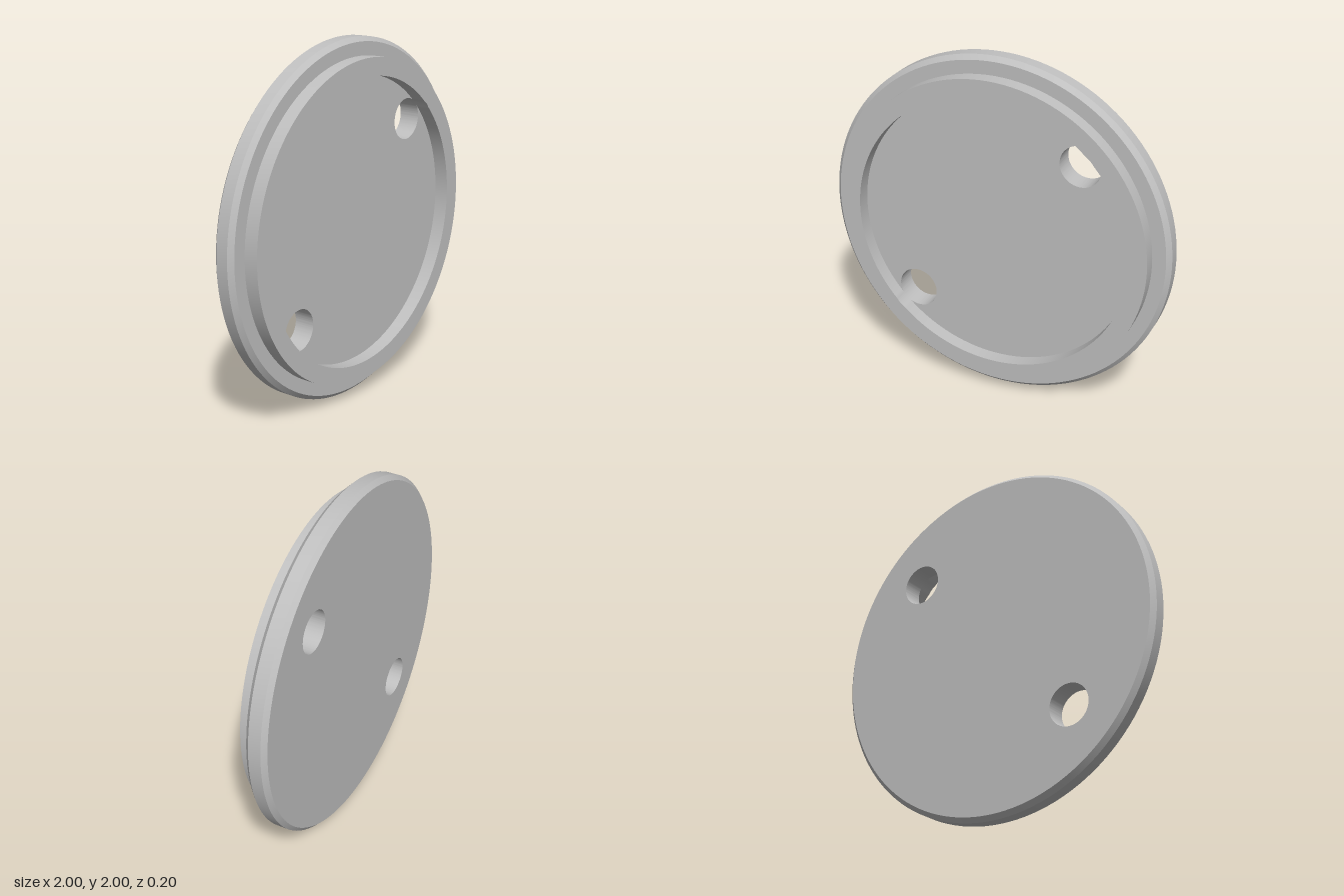
import * as THREE from 'three';
import { toCreasedNormals } from 'three/addons/utils/BufferGeometryUtils.js';

const SEG = 128;
const BACK = -0.1, FACE = 0.02, FRONT = 0.1; // depths along z
const BEVEL = 0.025, RING_OUT = 0.9, RING_IN = 0.8;
const HOLE_R = 0.1165, HOLE_D = 0.6866; // hole radius and distance from the centre
const HOLE_ANGLES = [Math.PI / 4, Math.PI * 5 / 4];

export function createModel() {
  const group = new THREE.Group();
  const grey = new THREE.MeshStandardMaterial({ color: 0xc0c0c0 });
  grey.name = 'plain grey';

  const add = (name, geometry, x = 0, y = 0, z = 0) => {
    const mesh = new THREE.Mesh(geometry, grey);
    mesh.name = name;
    mesh.position.set(x, y + 1, z);
    group.add(mesh);
    return mesh;
  };

  // Surface of revolution about the z axis; points are [radius, z]
  const turned = (points) => toCreasedNormals(
    new THREE.LatheGeometry(points.map(([r, z]) => new THREE.Vector2(r, z)), SEG)
      .rotateX(Math.PI / 2), 0.4);

  // Flat faces of the disc, pierced by the two holes
  const face = new THREE.Shape().absarc(0, 0, 1 - BEVEL, 0, Math.PI * 2);
  for (const a of HOLE_ANGLES) {
    face.holes.push(new THREE.Path().absarc(
      HOLE_D * Math.cos(a), HOLE_D * Math.sin(a), HOLE_R, 0, Math.PI * 2));
  }
  add('discFront', new THREE.ShapeGeometry(face, SEG / 2), 0, 0, FACE);
  // Half a turn about y mirrors x, so the back outline is mirrored by a turn about z
  add('discBack', new THREE.ShapeGeometry(face, SEG / 2)
    .rotateZ(Math.PI / 2).rotateY(Math.PI), 0, 0, BACK);

  // Bevelled rim
  add('discRim', turned([
    [1 - BEVEL, BACK], [1, BACK + BEVEL], [1, FACE - BEVEL], [1 - BEVEL, FACE],
  ]));

  // Inward-facing hole walls
  HOLE_ANGLES.forEach((a, i) => add(i ? 'lowerHoleWall' : 'upperHoleWall',
    turned([[HOLE_R, FACE], [HOLE_R, BACK]]),
    HOLE_D * Math.cos(a), HOLE_D * Math.sin(a)));

  // Raised ring, whose inner wall is nicked slightly by both holes
  const t = Math.acos((RING_IN ** 2 - HOLE_D ** 2 - HOLE_R ** 2) / (2 * HOLE_D * HOLE_R));
  const d = Math.asin(HOLE_R * Math.sin(t) / RING_IN);
  const ring = new THREE.Shape().absarc(0, 0, RING_OUT, 0, Math.PI * 2);
  const inner = new THREE.Path();
  for (const a of HOLE_ANGLES) {
    inner.absarc(HOLE_D * Math.cos(a), HOLE_D * Math.sin(a), HOLE_R, a - t, a + t);
    inner.absarc(0, 0, RING_IN, a + d, a + Math.PI - d);
  }
  ring.holes.push(inner);
  add('raisedRing', toCreasedNormals(new THREE.ExtrudeGeometry(ring, {
    depth: FRONT - FACE, bevelEnabled: false, curveSegments: SEG / 2,
  }), 0.2), 0, 0, FACE);

  return group;
}
